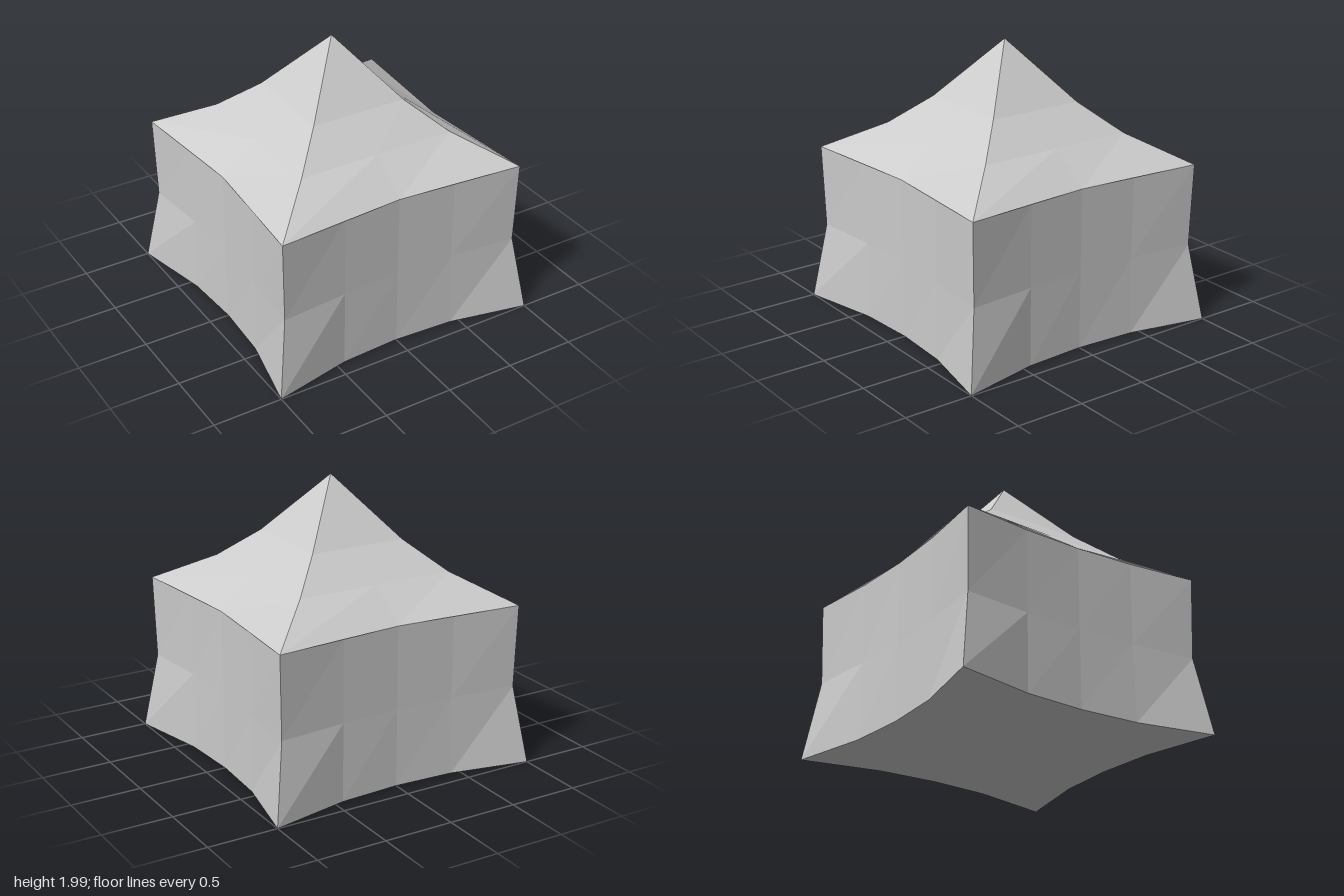
import * as THREE from 'three';

const material = new THREE.MeshStandardMaterial({ color: 0xcccccc, flatShading: true, side: THREE.DoubleSide });

// Each row is { y, half: [[x, z], ...] } from the middle of a side out to its corner.
function mirrorRow({ y, half }) {
  const left = half.slice(1).reverse().map(([x, z]) => [-x, y, z]);
  return [...left, ...half.map(([x, z]) => [x, y, z])];
}

// Skin neighbouring rows (bottom to top) with quads, outside facing +z.
function panelGeometry(rows) {
  const grid = rows.map(mirrorRow);
  const n = grid[0].length;
  const index = [];
  for (let r = 0; r < grid.length - 1; r++) {
    for (let c = 0; c < n - 1; c++) {
      const a = r * n + c, b = a + 1, d = a + n, e = d + 1;
      index.push(a, b, e, a, e, d);
    }
  }
  const geometry = new THREE.BufferGeometry();
  geometry.setAttribute('position', new THREE.Float32BufferAttribute(grid.flat(2), 3));
  geometry.setIndex(index);
  geometry.computeVertexNormals();
  return geometry;
}

// Four copies of one panel, turned about the centre pole.
function fourSides(name, rows) {
  const group = new THREE.Group();
  group.name = name + 's';
  const geometry = panelGeometry(rows);
  for (let i = 0; i < 4; i++) {
    const mesh = new THREE.Mesh(geometry, material);
    mesh.name = name;
    mesh.rotation.y = i * Math.PI / 2;
    group.add(mesh);
  }
  return group;
}

export function createModel() {
  const tent = new THREE.Group();
  tent.name = 'tent';

  // Walls: bowed inward, pinched at the waist
  const base = [[0, 0.855], [0.435, 0.88], [1, 1]];
  tent.add(fourSides('wallPanel', [
    { y: 0, half: base },
    { y: 0.557, half: [[0, 0.855], [0.43, 0.872], [0.916, 0.916]] },
    { y: 1.147, half: [[0, 0.857], [0.43, 0.875], [0.93, 0.93]] },
  ]));

  // Roof: sagging pyramid whose eaves follow the walls
  const roofRows = [[0.583, 1.353], [0.353, 1.56], [0, 1.987]]
    .map(([r, y]) => ({ y, half: [[0, r], [r, r]] }));
  tent.add(fourSides('roofPanel', [
    { y: 1.147, half: [[0, 0.857], [0.93, 0.93]] },
    ...roofRows,
  ]));

  // Floor: outline of the wall base, all four sides
  const outline = [];
  for (let i = 0; i < 4; i++) {
    const side = mirrorRow({ y: 0, half: base }).slice(0, -1);
    for (const [x, , z] of side) {
      outline.push(new THREE.Vector2(x, z).rotateAround(new THREE.Vector2(), -i * Math.PI / 2));
    }
  }
  const floor = new THREE.Mesh(new THREE.ShapeGeometry(new THREE.Shape(outline)).rotateX(Math.PI / 2), material);
  floor.name = 'floor';
  tent.add(floor);

  return tent;
}
